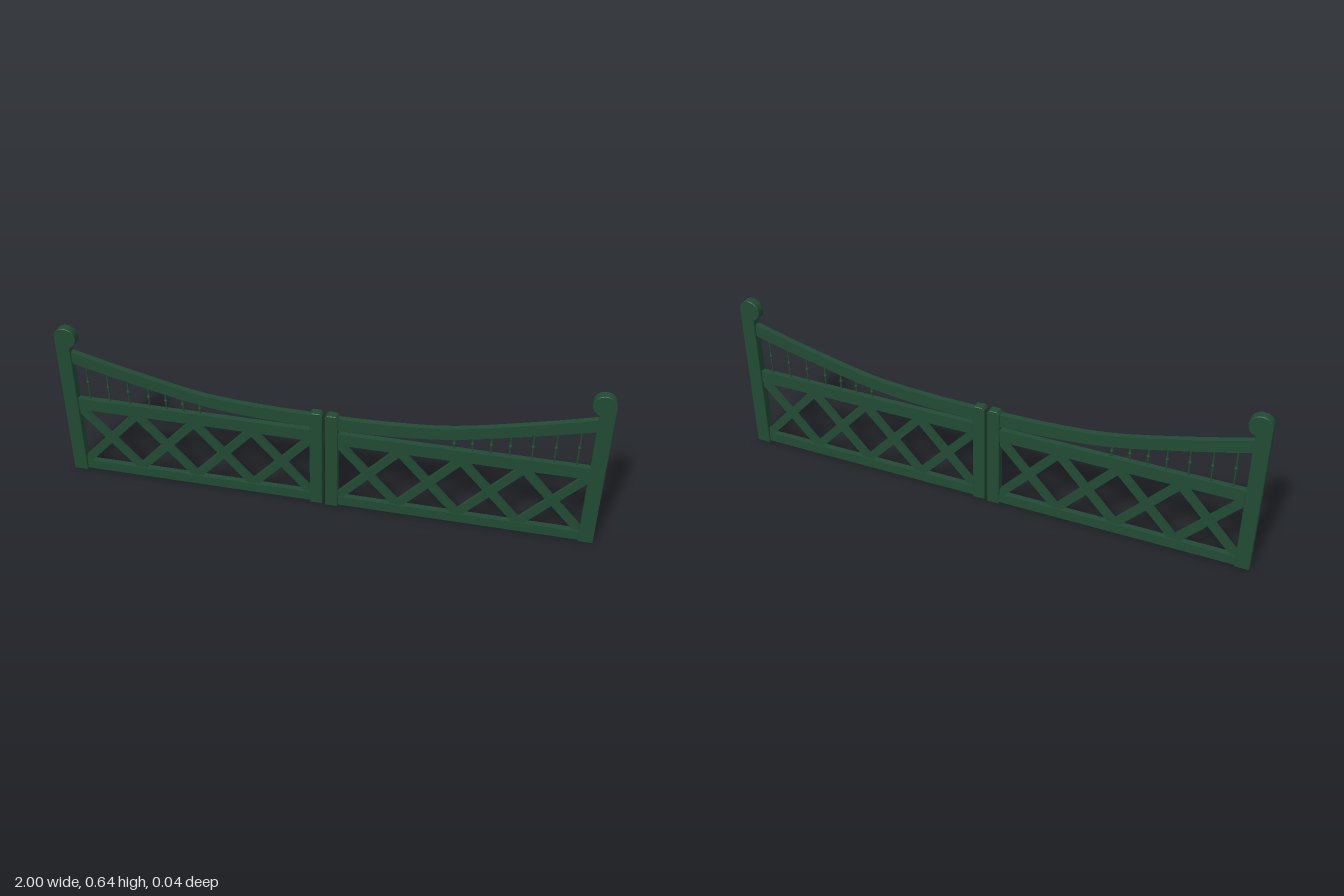
import * as THREE from 'three';

const green = new THREE.MeshStandardMaterial({ color: 0x214b34 });
green.name = 'dark green paint';

const POST_IN = 0.946, STILE_IN = 0.006, STILE_OUT = 0.053;
const v = (x, y) => new THREE.Vector2(x, y);

function add(parent, name, geometry, x = 0, y = 0, z = 0) {
  const mesh = new THREE.Mesh(geometry, green);
  mesh.name = name;
  mesh.position.set(x, y, z);
  parent.add(mesh);
  return mesh;
}

// Front outline cut from a plank of the given thickness, with small chamfers
function plank(points, depth, chamfer) {
  const g = new THREE.ExtrudeGeometry(new THREE.Shape(points), {
    depth: depth - 2 * chamfer, bevelEnabled: chamfer > 0, bevelThickness: chamfer,
    bevelSize: chamfer, bevelOffset: -chamfer, bevelSegments: 1,
  });
  return g.translate(0, 0, -depth / 2 + chamfer);
}

// Turned spindle with a central bead and smaller end beads
function spindle(height) {
  const h = height / 2;
  const half = [[0.0065, 0], [0.006, 0.004], [0.0035, 0.007], [0.0045, 0.011],
    [0.003, 0.015], [0.003, h - 0.004], [0.0045, h]].filter(([, y]) => y <= h);
  const lower = half.slice(1).reverse().map(([r, y]) => v(r, -y));
  return new THREE.LatheGeometry([...lower, ...half.map(([r, y]) => v(r, y))], 10);
}

// side is +1 for the +x leaf and -1 for the -x leaf
function makeLeaf(side) {
  const leaf = new THREE.Group();
  leaf.name = side > 0 ? 'leftLeaf' : 'rightLeaf';
  const mirror = (pts) => pts.map(([x, y]) => v(x * side, y));
  const z = 0.002 * side;

  // Hinge post rising into a round scroll that overhangs inwards
  const cx = 0.959, cy = 0.602, r = 0.041;
  const outline = [[POST_IN, 0], [1, 0], [1, cy]];
  const end = Math.PI + Math.acos((cx - POST_IN) / r);
  for (let i = 1; i <= 28; i++) {
    const a = (end * i) / 28;
    outline.push([cx + Math.cos(a) * r, cy + Math.sin(a) * r]);
  }
  add(leaf, 'hingePost', plank(mirror(outline), 0.034, 0.002));

  // Meeting stile with clipped top corners
  add(leaf, 'meetingStile', plank(mirror([[STILE_IN, 0], [STILE_OUT, 0], [STILE_OUT, 0.405],
    [STILE_OUT - 0.008, 0.414], [STILE_IN + 0.008, 0.414], [STILE_IN, 0.405]]), 0.034, 0.002), 0, 0, z);

  // Straight rails
  const inner = 0.045, outer = 0.96, mid = (inner + outer) / 2 * side;
  add(leaf, 'bottomRail', new THREE.BoxGeometry(outer - inner, 0.039, 0.022), mid, 0.0245, z);
  add(leaf, 'middleRail', new THREE.BoxGeometry(outer - inner, 0.049, 0.022), mid, 0.3105, z);

  // Sweeping top rail
  const sweep = (pts) => new THREE.SplineCurve(pts.map(([x, y]) => v(x, y)));
  const top = sweep([[0.045, 0.402], [0.25, 0.407], [0.47, 0.427], [0.75, 0.49], [0.96, 0.546]]);
  const under = sweep([[0.045, 0.352], [0.25, 0.358], [0.47, 0.381], [0.75, 0.443], [0.96, 0.497]]);
  const underPts = under.getPoints(40);
  const band = [...top.getPoints(40), ...underPts.slice().reverse()];
  add(leaf, 'topRail', plank(mirror(band.map((p) => [p.x, p.y])), 0.022, 0), 0, 0, z);

  // Row of crosses between the lower rails
  const bay = (POST_IN - STILE_OUT) / 4, rise = 0.245;
  const length = Math.hypot(bay, rise), angle = Math.atan2(rise, bay);
  for (let i = 0; i < 4; i++) {
    const x = (STILE_OUT + bay * (i + 0.5)) * side;
    for (const lean of [1, -1]) {
      const bar = add(leaf, 'latticeBar', new THREE.BoxGeometry(length, 0.031, 0.015), x, 0.1645, z + lean * 0.0006);
      bar.rotation.z = lean * angle;
    }
  }

  // Spindles between middle and top rails
  const base = 0.333;
  for (const x of [0.9, 0.822, 0.744, 0.666, 0.6, 0.535, 0.47]) {
    const k = underPts.findIndex((p) => p.x >= x);
    const height = underPts[k].y + 0.002 - base;
    add(leaf, 'spindle', spindle(height), x * side, base + height / 2, z);
  }
  return leaf;
}

export function createModel() {
  const gate = new THREE.Group();
  gate.name = 'doubleGate';
  gate.add(makeLeaf(1), makeLeaf(-1));
  return gate;
}
